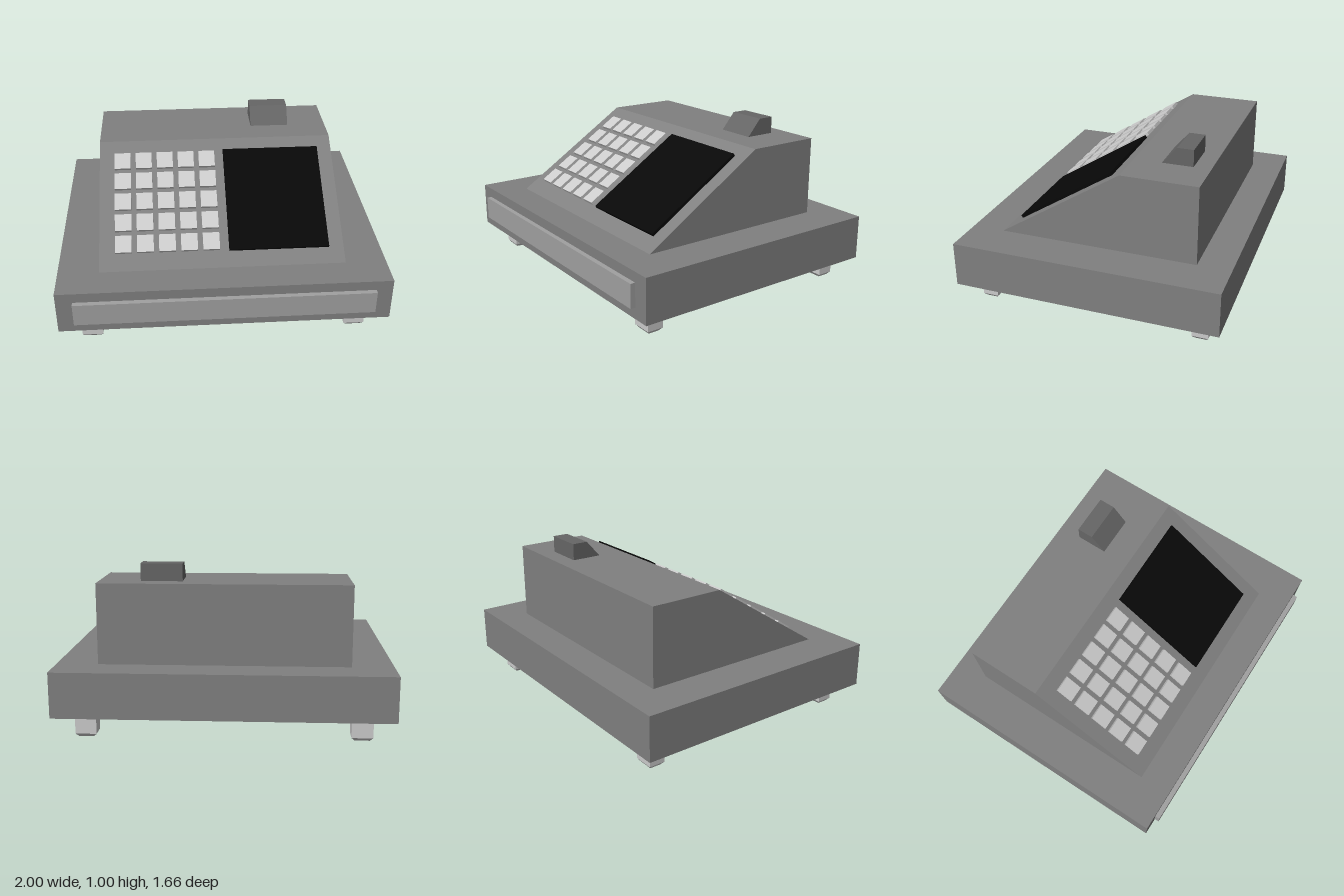
import * as THREE from 'three';

const material = (color) => new THREE.MeshStandardMaterial({ color });

export function createModel() {
  const model = new THREE.Group();
  const bodyGrey = material(0x808080);
  const drawerGrey = material(0xa0a0a0);
  const lightGrey = material(0xcccccc);
  const darkGrey = material(0x666666);
  const black = material(0x080808);

  function add(name, geometry, mat, x, y, z, parent = model) {
    const mesh = new THREE.Mesh(geometry, mat);
    mesh.name = name;
    mesh.position.set(x, y, z);
    parent.add(mesh);
    return mesh;
  }

  // Side profile of [z, y] points, extruded across x and centred
  function sideExtrude(points, width) {
    const shape = new THREE.Shape(points.map(([z, y]) => new THREE.Vector2(z, y)));
    const geometry = new THREE.ExtrudeGeometry(shape, { depth: width, bevelEnabled: false });
    return geometry.translate(0, 0, -width / 2).rotateY(-Math.PI / 2);
  }

  // Drawer housing and drawer front
  add('base', new THREE.BoxGeometry(2, 0.275, 1.63), bodyGrey, 0, 0.2775, -0.015);
  add('drawerFront', new THREE.BoxGeometry(1.8, 0.145, 0.06), drawerGrey, 0, 0.28, 0.8);

  // Sloped upper body
  add('body', sideExtrude([[0.6, 0.415], [-0.16, 0.9], [-0.625, 0.9], [-0.625, 0.415]], 1.5),
    bodyGrey, 0, 0, 0);

  // Wedge-shaped unit on top
  add('topUnit', sideExtrude([[-0.33, 0.9], [-0.42, 1.005], [-0.52, 1.005], [-0.52, 0.9]], 0.25),
    darkGrey, 0.375, 0, 0);

  // Control panel lying on the slope: -z runs up the slope, y points out of it
  const panel = new THREE.Group();
  panel.name = 'controlPanel';
  panel.position.set(0, 0.415, 0.6);
  panel.rotation.x = Math.atan2(0.485, 0.76);
  model.add(panel);

  add('screen', new THREE.BoxGeometry(0.615, 0.02, 0.703), black, 0.35, 0.009, -0.459, panel);

  const keyGeometry = new THREE.BoxGeometry(0.102, 0.02, 0.112);
  for (let row = 0; row < 5; row++) {
    for (let column = 0; column < 5; column++) {
      add('key', keyGeometry, lightGrey,
        -0.603 + column * 0.1345, 0.009, -0.459 + (row - 2) * 0.144, panel);
    }
  }

  // Feet with chamfered bottoms
  const footGeometry = new THREE.BoxGeometry(0.126, 0.14, 0.1, 1, 2, 1).toNonIndexed();
  const p = footGeometry.attributes.position;
  for (let i = 0; i < p.count; i++) {
    const y = p.getY(i);
    if (y < -0.01) {
      p.setX(i, p.getX(i) - Math.sign(p.getX(i)) * 0.018);
      p.setZ(i, p.getZ(i) - Math.sign(p.getZ(i)) * 0.016);
    } else if (y < 0.01) {
      p.setY(i, -0.05);
    }
  }
  footGeometry.computeVertexNormals();
  for (const x of [-0.811, 0.811]) {
    for (const z of [0.65, -0.69]) add('foot', footGeometry, lightGrey, x, 0.07, z);
  }

  return model;
}
